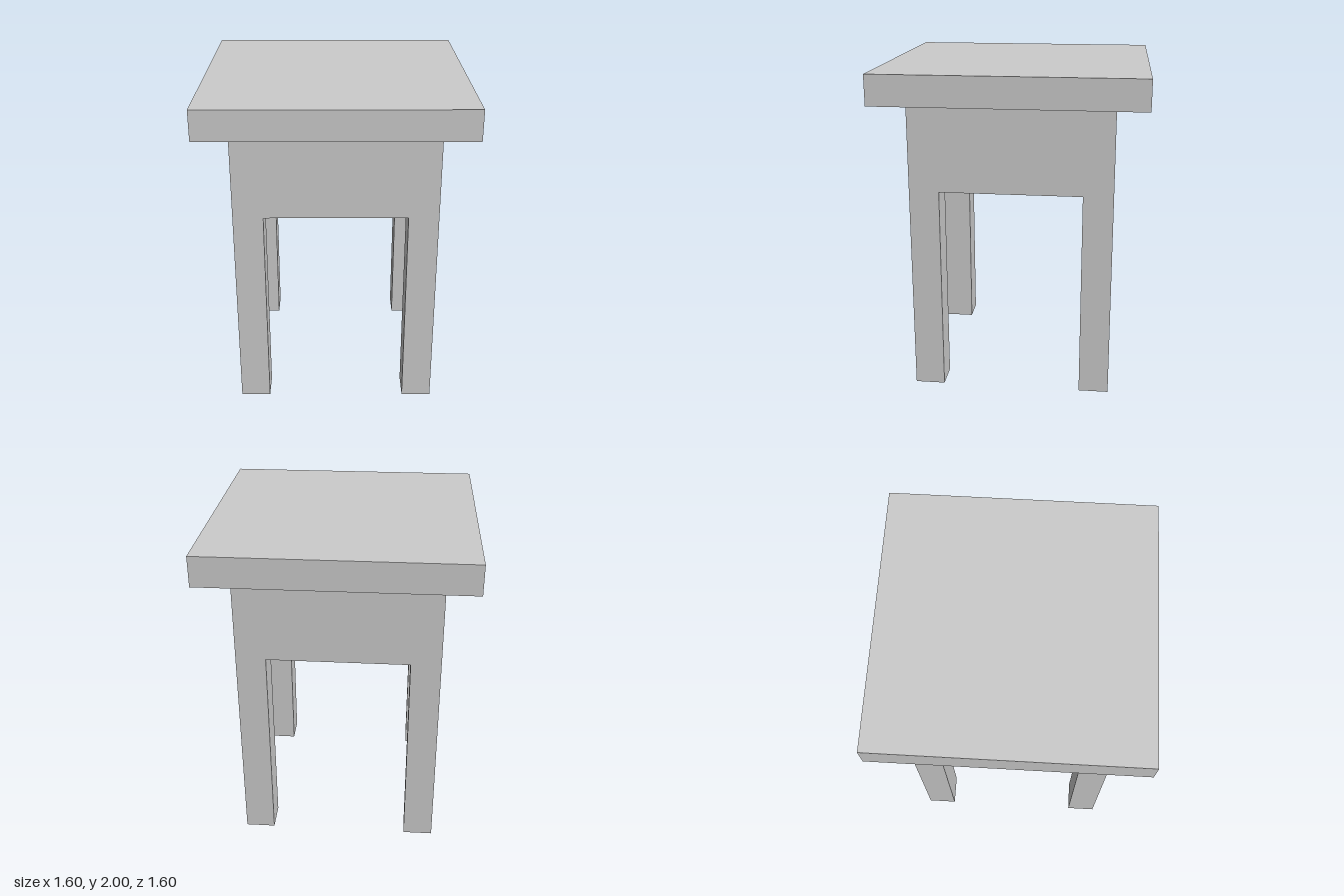
import * as THREE from 'three';

const material = new THREE.MeshStandardMaterial({ color: 0xcccccc, flatShading: true });

// Square block of the given width, spanning bottom to top
function block(name, width, bottom, top, x = 0, z = 0) {
  const mesh = new THREE.Mesh(new THREE.BoxGeometry(width, top - bottom, width), material);
  mesh.name = name;
  mesh.position.set(x, (bottom + top) / 2, z);
  return mesh;
}

export function createModel() {
  const model = new THREE.Group();
  model.name = 'stool';

  const bodyBottom = 1.273, bodyTop = 1.818;
  const bodyWidth = 1.224, legWidth = 0.182;

  // Overhanging slab and the solid body beneath it
  model.add(block('top', 1.595, bodyTop, 2));
  model.add(block('body', bodyWidth, bodyBottom, bodyTop));

  // Four legs, flush with the corners of the body
  const offset = (bodyWidth - legWidth) / 2;
  for (const [zName, z] of [['front', 1], ['back', -1]]) {
    for (const [xName, x] of [['Left', 1], ['Right', -1]]) {
      model.add(block(`${zName}${xName}Leg`, legWidth, 0, bodyBottom, x * offset, z * offset));
    }
  }
  return model;
}
